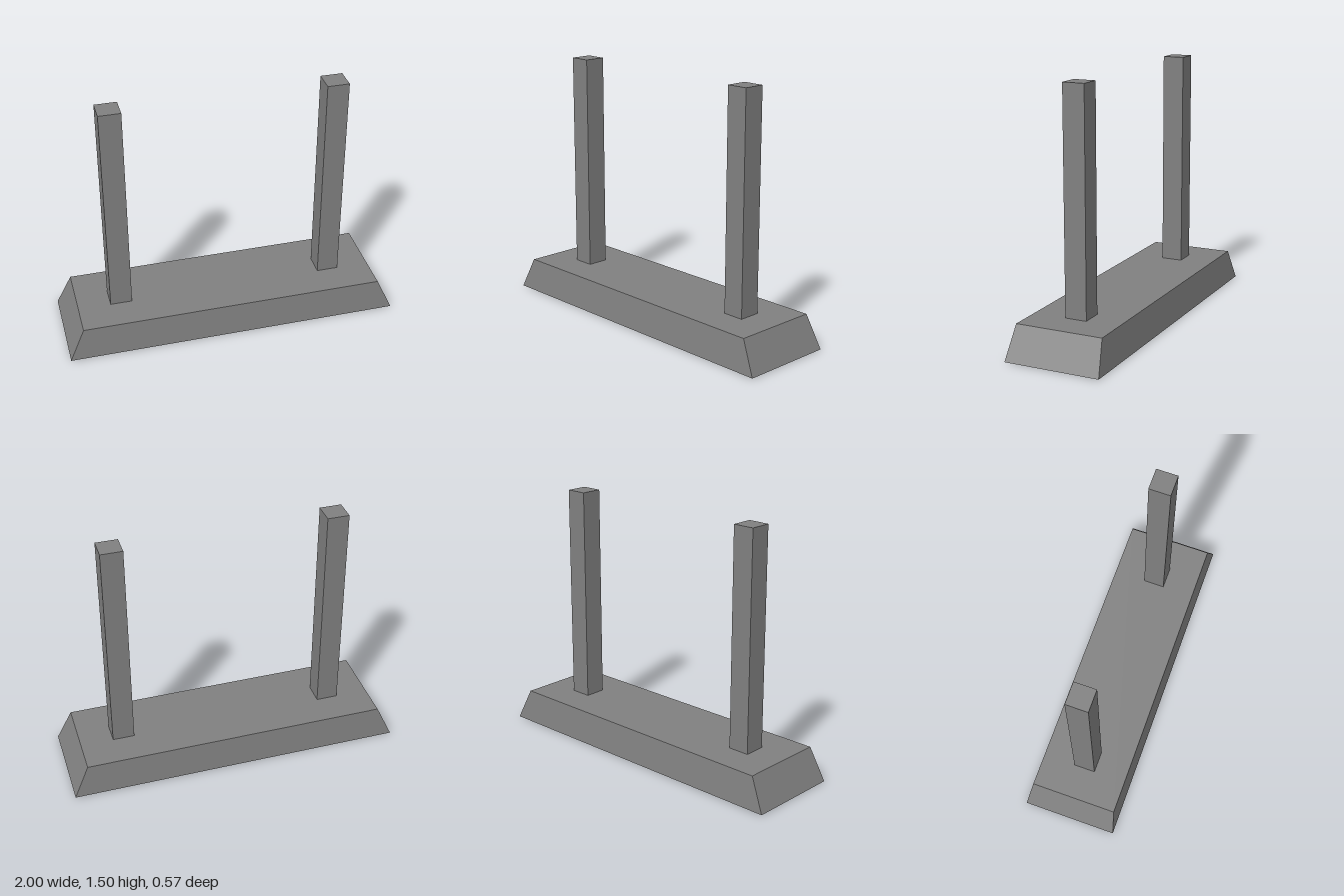
import * as THREE from 'three';

const RIM_Y = 0.003, TOP_Y = 0.197, POST_TOP = 1.497;

function material(color, options = {}) {
  return new THREE.MeshStandardMaterial({ color, flatShading: true, ...options });
}

function addMesh(group, name, geometry, mat, x, y, z) {
  const mesh = new THREE.Mesh(geometry, mat);
  mesh.name = name;
  mesh.position.set(x, y, z);
  group.add(mesh);
}

// Box without its bottom face, tapered inwards towards the top
function shadeGeometry() {
  const geo = new THREE.BoxGeometry(2, TOP_Y - RIM_Y, 0.57);
  const faces = Array.from(geo.index.array);
  faces.splice(18, 6);
  geo.setIndex(faces);
  geo.clearGroups();
  const p = geo.attributes.position;
  for (let i = 0; i < p.count; i++) {
    if (p.getY(i) > 0) {
      p.setX(i, p.getX(i) * 0.91);
      p.setZ(i, p.getZ(i) * 0.915);
    }
  }
  geo.computeVertexNormals();
  return geo;
}

export function createModel() {
  const model = new THREE.Group();
  model.name = 'hangingTubeLamp';
  const darkGrey = 0x808080;

  // Open-bottomed shade
  addMesh(model, 'shade', shadeGeometry(), material(darkGrey, { side: THREE.DoubleSide }),
    0, (TOP_Y + RIM_Y) / 2, 0);

  // Square hanging posts
  const postHeight = POST_TOP - TOP_Y;
  const postGeo = new THREE.BoxGeometry(0.13, postHeight, 0.13);
  const postMat = material(darkGrey);
  for (const [name, x] of [['leftPost', 0.65], ['rightPost', -0.65]]) {
    addMesh(model, name, postGeo, postMat, x, TOP_Y + postHeight / 2, 0);
  }

  // Two white light tubes with grey end caps, lying along the shade
  const radius = 0.06;
  const tubeGeo = new THREE.CylinderGeometry(radius, radius, 1.7, 16).rotateZ(Math.PI / 2);
  const cap = material(0xcccccc);
  const tubeMats = [material(0xffffff), cap, cap];
  addMesh(model, 'frontTube', tubeGeo, tubeMats, -0.01, radius, 0.12);
  addMesh(model, 'backTube', tubeGeo, tubeMats, -0.01, radius + RIM_Y, -0.115);

  return model;
}
